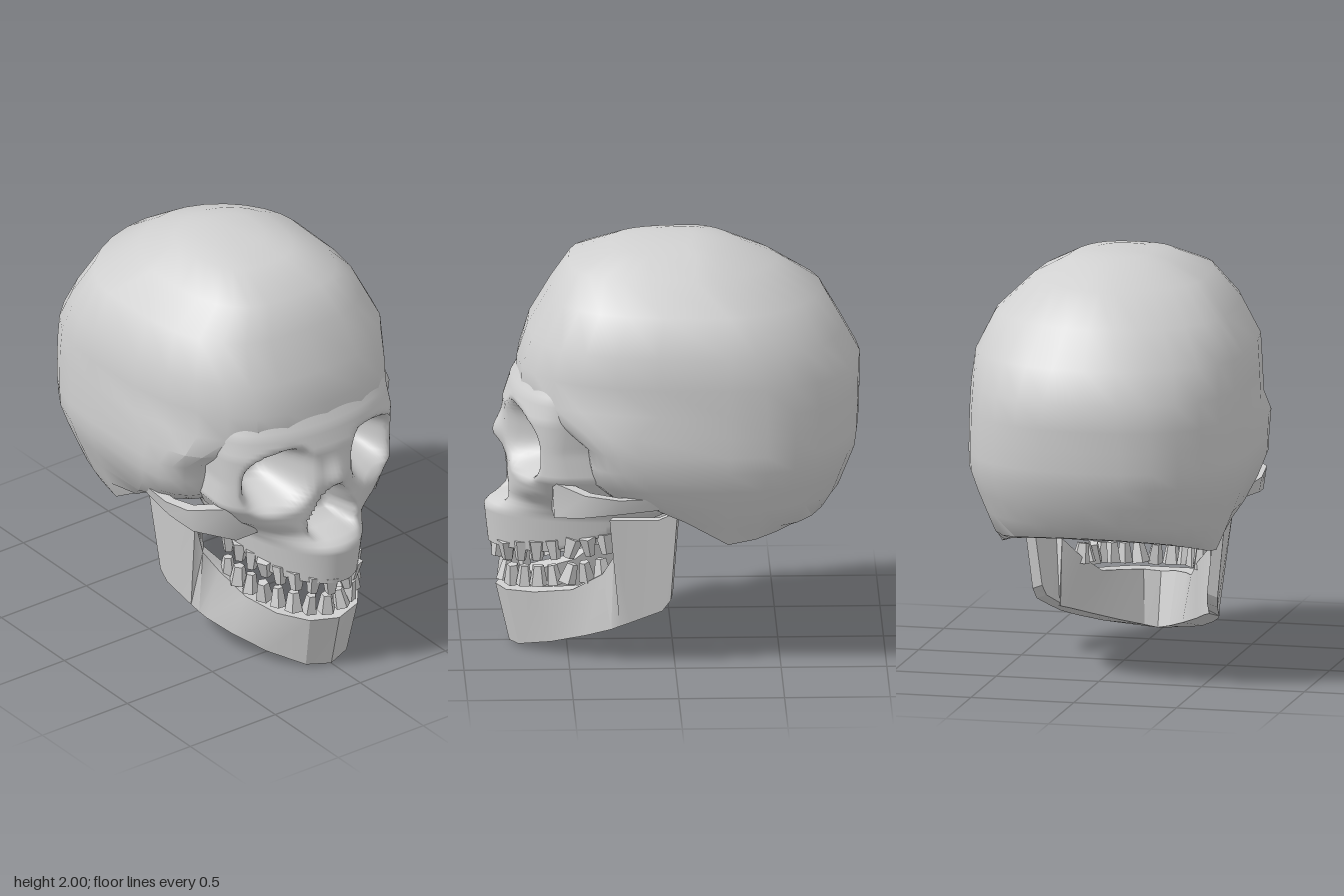
import * as THREE from 'three';
import { toCreasedNormals } from 'three/addons/utils/BufferGeometryUtils.js';

const bone = new THREE.MeshStandardMaterial({ color: 0xd0d0d0, side: THREE.DoubleSide });
bone.name = 'bone';

const { clamp, lerp, smoothstep } = THREE.MathUtils;

// Linear lookup in a list of rows whose first entry is the rising key
function sample(rows, key) {
  let i = 0;
  while (i < rows.length - 2 && key > rows[i + 1][0]) i++;
  const t = clamp((key - rows[i][0]) / (rows[i + 1][0] - rows[i][0]), 0, 1);
  return rows[i].map((v, k) => lerp(v, rows[i + 1][k], t));
}

// Skin a grid of cross-sections
function skin(name, rows, crease) {
  const n = rows[0].length, index = [];
  for (let i = 0; i < rows.length - 1; i++) {
    for (let j = 0; j < n - 1; j++) {
      const a = i * n + j, b = a + n;
      index.push(a, a + 1, b, b, a + 1, b + 1);
    }
  }
  const g = new THREE.BufferGeometry();
  g.setAttribute('position', new THREE.Float32BufferAttribute(rows.flat(2), 3));
  g.setIndex(index);
  const mesh = new THREE.Mesh(toCreasedNormals(g, crease), bone);
  mesh.name = name;
  return mesh;
}

// Solid strip of bone; station = [xLow, yLow, zLow, xTop, yTop, zTop, thickness]
function strip(name, stations, crease) {
  const rows = stations.map((s, i) => {
    const p = stations[Math.max(i - 1, 0)], q = stations[Math.min(i + 1, stations.length - 1)];
    const t = new THREE.Vector2(q[0] + q[3] - p[0] - p[3], q[2] + q[5] - p[2] - p[5]).normalize();
    const dx = t.y * s[6], dz = -t.x * s[6];
    const low = [s[0], s[1], s[2]], top = [s[3], s[4], s[5]];
    return [low, top, [s[3] + dx, s[4], s[5] + dz], [s[0] + dx, s[1] + 0.02, s[2] + dz], low];
  });
  const centre = r => [0, 1, 2].map(k => (r[0][k] + r[1][k] + r[2][k] + r[3][k]) / 4);
  const cap = r => r.map(() => centre(r));
  // Strip rows run along +x, so reverse them to face outward
  return skin(name, [cap(rows[0]), ...rows, cap(rows[rows.length - 1])].reverse(), crease);
}
const mirrored = stations => stations.map(s => [-s[0], s[1], s[2], -s[3], s[4], s[5], s[6]]).reverse();

// Braincase: rings of [y, half width, front z, back z, front squareness, back squareness]
function braincase() {
  const rings = [
    [2.0, 0, -0.1, -0.1, 2.2, 2], [1.988, 0.15, 0.14, -0.2, 2.5, 1.9], [1.965, 0.25, 0.29, -0.3, 2.7, 1.8],
    [1.88, 0.41, 0.49, -0.5, 3, 1.8], [1.74, 0.555, 0.58, -0.71, 3, 1.9], [1.56, 0.643, 0.685, -0.81, 2.9, 2.1],
    [1.41, 0.655, 0.735, -0.89, 2.7, 2.3], [1.28, 0.66, 0.74, -0.887, 2.7, 2.4], [1.18, 0.663, 0.56, -0.884, 5, 2.4],
    [1.08, 0.665, 0.43, -0.88, 6, 2.4], [1.0, 0.663, 0.42, -0.87, 6, 2.4], [0.9, 0.63, 0.41, -0.83, 5, 2.4],
    [0.8, 0.59, 0.36, -0.79, 3.8, 2.4], [0.7, 0.55, 0.3, -0.74, 3, 2.4], [0.6, 0.51, 0.28, -0.7, 3, 2.4],
  ];
  // Underside height along z, lowest behind the ears
  const floor = [[-0.8, 0.76], [-0.72, 0.73], [-0.27, 0.6], [-0.12, 0.67], [0, 0.77], [0.15, 0.82], [0.4, 0.84]];
  const sides = 28, zc = -0.25;
  const rows = rings.map(([y, w, zf, zb, front, rear]) => {
    const row = [];
    const mid = clamp(zc, zb, zf) * (w > 0.5 ? 1 : 0.4);
    for (let j = 0; j <= sides; j++) {
      const a = (j / sides) * Math.PI * 2, c = Math.cos(a), s = Math.sin(a);
      const e = 2 / (c > 0 ? front : rear);
      const x = w * Math.sign(s) * Math.abs(s) ** e;
      const z = w ? mid + (c > 0 ? zf - mid : mid - zb) * Math.sign(c) * Math.abs(c) ** e : -0.1;
      row.push([x, Math.max(y, sample(floor, z)[1]), z]);
    }
    return row;
  });
  // Hollow underside, deepest at the back
  const rim = rows[rows.length - 1];
  const roof = z => lerp(0.88, 0.77, smoothstep(z, -0.45, 0.1));
  rows.push(rim.map(([x, y, z]) => [x * 0.72, y + 0.08, lerp(-0.1, z, 0.75)]));
  rows.push(rim.map(([x, y, z]) => [x * 0.4, roof(lerp(-0.1, z, 0.4)), lerp(-0.1, z, 0.4)]));
  rows.push(rim.map(() => [0, roof(-0.1), -0.1]));
  return skin('braincase', rows.reverse(), 0.9);
}

// Face: rows of [y, half width, middle z, side z, roundness], hollowed for eyes and nose
function face() {
  const keys = [
    [0.5, 0.27, 0.87, 0.32, 1], [0.68, 0.3, 0.89, 0.32, 1], [0.75, 0.34, 0.82, 0.36, 0.95],
    [0.82, 0.42, 0.8, 0.45, 0.9], [0.92, 0.49, 0.79, 0.5, 0.9], [1.05, 0.48, 0.8, 0.53, 0.95],
    [1.2, 0.49, 0.8, 0.51, 0.9], [1.3, 0.49, 0.768, 0.44, 0.78], [1.42, 0.49, 0.7, 0.33, 0.75],
  ];
  const cols = 80, levels = 46, rows = [];
  for (let i = 0; i <= levels; i++) {
    const y = lerp(0.5, 1.42, i / levels);
    const [, w, zf, ze, p] = sample(keys, y);
    const row = [];
    for (let j = 0; j <= cols; j++) {
      const a = (j / cols - 0.5) * Math.PI;
      const x = w * Math.sin(a);
      let z = ze + (zf - ze) * Math.max(Math.cos(a), 0) ** p;
      // Bridge of the nose
      z += 0.05 * Math.exp(-((x / 0.06) ** 2) - ((y - 1.04) / 0.08) ** 2);
      // Eye socket, its outer corner drooping
      const u = (Math.abs(x) - 0.275) / 0.18, v = (y - 1.065 + 0.03 * u) / 0.18;
      const r = (Math.abs(u) ** 2.8 + Math.abs(v) ** 2.8) ** (1 / 2.8);
      z = lerp(z, Math.min(z, 0.46), 1 - smoothstep(r, 0.3, 1));
      // Nose opening, a triangle with its tip at the bridge
      const nw = 0.03 + 0.12 * clamp((1.0 - y) / 0.18, 0, 1);
      const hollow = smoothstep(y, 0.71, 0.77) * (1 - smoothstep(y, 0.9, 1.02));
      z = lerp(z, 0.6, (1 - smoothstep(Math.abs(x) / nw, 0.5, 1)) * hollow);
      row.push([x, y, z]);
    }
    // Side walls running back to the braincase and closing behind
    const back = (s, k, dz) => [s * w * k, y, ze - dz];
    row.unshift(back(0, 0, 0.36), back(-1, 0.85, 0.32), back(-1, 0.98, 0.13));
    row.push(back(1, 0.98, 0.13), back(1, 0.85, 0.32), back(0, 0, 0.36));
    // The gum line rises towards the back
    rows.push(row.map(([x, yy, z]) => [x, Math.max(yy, 0.5 + Math.max(0, 0.58 - z) * 0.36), z]));
  }
  // Roof of the mouth
  const gum = rows[0];
  rows.unshift(gum.map(([x, y, z]) => [x * 0.7, y + 0.01, lerp(0.25, z, 0.82)]));
  rows.unshift(gum.map(([x, y, z]) => [0, y + 0.06, lerp(0.25, z, 0.7)]));
  return skin('face', rows, 1.4);
}

// Curved row of small faceted teeth
function teeth(name, width, front, back, y, rise, flip) {
  const group = new THREE.Group();
  group.name = name;
  const pts = [];
  for (let i = 0; i <= 12; i++) {
    const a = (i / 12 - 0.5) * Math.PI;
    pts.push(new THREE.Vector3(width * Math.sin(a), y + rise * (1 - Math.cos(a)), back + (front - back) * Math.cos(a)));
  }
  const count = 16;
  new THREE.CatmullRomCurve3(pts).getSpacedPoints(count - 1).forEach((p, i) => {
    const wide = 0.041 + 0.005 * (i % 2), narrow = wide * 0.6;
    const g = new THREE.CylinderGeometry(flip ? wide : narrow, flip ? narrow : wide, 0.095, 5).toNonIndexed();
    const tooth = new THREE.Mesh(toCreasedNormals(g, 0.1), bone);
    tooth.name = 'tooth';
    tooth.position.copy(p);
    tooth.rotation.set(0.15 * Math.sin(i * 2.3), i * 1.1, 0.18 * Math.sin(i * 3.7));
    group.add(tooth);
  });
  return group;
}

export function createModel() {
  const model = new THREE.Group();
  model.name = 'skull';
  model.add(braincase(), face());

  // Cheekbones sweeping back to the ears
  const cheek = [
    [0.25, 0.73, 0.58, 0.28, 0.86, 0.62, 0.06], [0.41, 0.72, 0.57, 0.455, 0.91, 0.58, 0.06],
    [0.57, 0.765, 0.44, 0.59, 0.88, 0.43, 0.06], [0.59, 0.785, 0.28, 0.605, 0.86, 0.27, 0.05],
    [0.57, 0.8, 0.08, 0.59, 0.86, 0.08, 0.05],
  ];
  model.add(strip('leftCheekbone', cheek, 0.8), strip('rightCheekbone', mirrored(cheek), 0.8));

  // Lower jaw: chin, body and upright branch
  const chin = [[0, 0.0, 0.77, 0, 0.28, 0.835, 0.1]];
  const side = [
    [0.12, 0.015, 0.73, 0.14, 0.29, 0.79, 0.1], [0.24, 0.06, 0.58, 0.24, 0.305, 0.66, 0.1],
    [0.33, 0.115, 0.42, 0.29, 0.33, 0.48, 0.08], [0.385, 0.16, 0.3, 0.34, 0.42, 0.34, 0.07],
    [0.4, 0.18, 0.26, 0.4, 0.52, 0.29, 0.06], [0.41, 0.2, 0.21, 0.46, 0.72, 0.31, 0.05],
    [0.44, 0.265, 0.06, 0.48, 0.725, 0.08, 0.05], [0.45, 0.32, 0.02, 0.5, 0.77, -0.01, 0.05],
  ];
  model.add(strip('lowerJaw', [...mirrored(side), ...chin, ...side], 0.5));

  model.add(teeth('upperTeeth', 0.27, 0.83, 0.32, 0.475, 0.075, true));
  model.add(teeth('lowerTeeth', 0.29, 0.79, 0.34, 0.355, 0.08, false));
  return model;
}
